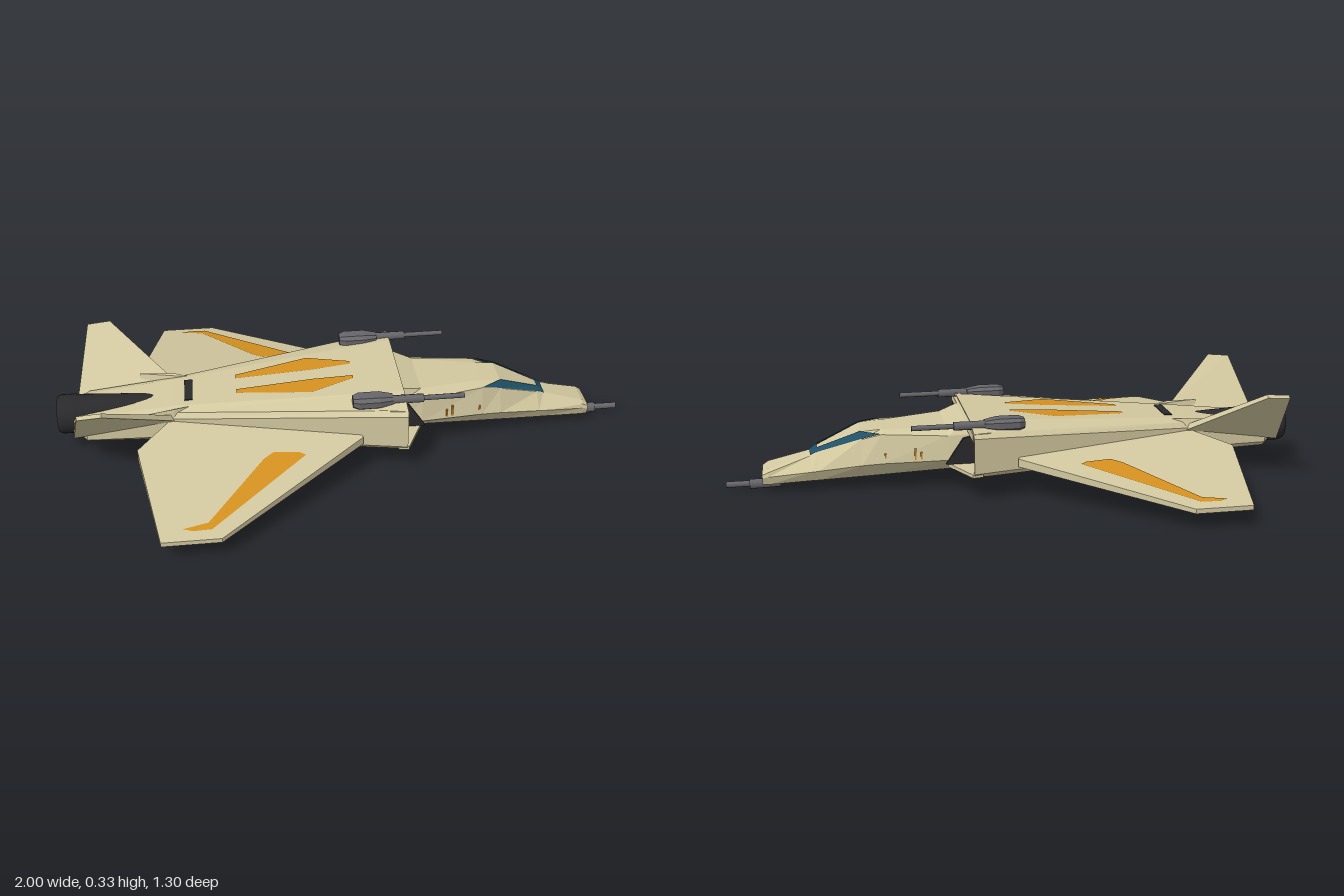
import * as THREE from 'three';
import { ConvexGeometry } from 'three/addons/geometries/ConvexGeometry.js';

const V = (x, y, z) => new THREE.Vector3(x, y, z);

function material(name, color, side = THREE.FrontSide) {
  const m = new THREE.MeshStandardMaterial({ color, side });
  m.name = name;
  return m;
}

// Skin between rows of points, with optional flat caps; flat shaded
function loft(rows, { closed = true, back = false, front = false } = {}) {
  const pos = [];
  const tri = (...p) => p.forEach(v => pos.push(v.x, v.y, v.z));
  const n = rows[0].length;
  for (let i = 0; i + 1 < rows.length; i++) {
    for (let j = 0; j < (closed ? n : n - 1); j++) {
      const k = (j + 1) % n;
      tri(rows[i][j], rows[i + 1][k], rows[i][k]);
      tri(rows[i][j], rows[i + 1][j], rows[i + 1][k]);
    }
  }
  const last = rows[rows.length - 1];
  for (let j = 1; j + 1 < n; j++) {
    if (back) tri(rows[0][0], rows[0][j], rows[0][j + 1]);
    if (front) tri(last[0], last[j + 1], last[j]);
  }
  const g = new THREE.BufferGeometry();
  g.setAttribute('position', new THREE.Float32BufferAttribute(pos, 3));
  g.computeVertexNormals();
  return g;
}

// Full symmetric section from half-section [z, y] pairs, bottom to top
const ring = ([x, ...half]) => [
  ...half.map(([z, y]) => V(x, y, z)),
  ...half.slice().reverse().map(([z, y]) => V(x, y, -z)),
];

// Flat outline in x,z laid on a surface y = height(x, z)
function decal(points, height) {
  const g = new THREE.ShapeGeometry(new THREE.Shape(points.map(p => new THREE.Vector2(...p))));
  const p = g.attributes.position;
  for (let i = 0; i < p.count; i++) {
    const x = p.getX(i), z = p.getY(i);
    p.setXYZ(i, x, height(x, z), z);
  }
  g.computeVertexNormals();
  return g;
}

// Round bar along x, from x0 to x1
function bar(x0, x1, r0, r1, y, z, sides = 12) {
  return new THREE.CylinderGeometry(r1, r0, x1 - x0, sides).rotateZ(-Math.PI / 2).translate((x0 + x1) / 2, y, z);
}

export function createModel() {
  const model = new THREE.Group();
  const hull = material('hull tan', 0xd3c9a0);
  const dark = material('intake black', 0x2a2a2c, THREE.DoubleSide);
  const metal = material('gun grey', 0x67676b);
  const orange = material('marking orange', 0xd6911f, THREE.DoubleSide);
  const glass = material('glass blue', 0x1f5168, THREE.DoubleSide);
  const add = (name, geometry, mat) => {
    const m = new THREE.Mesh(geometry, mat);
    m.name = name;
    model.add(m);
    return m;
  };

  // Forward fuselage: keel, side edge, canopy shoulder, roof
  const fuselage = [
    [-0.5, [0.07, 0.074], [0.09, 0.09], [0.085, 0.16], [0.06, 0.18]],
    [0.12, [0.115, 0.073], [0.157, 0.115], [0.15, 0.205], [0.13, 0.238]],
    [0.185, [0.11, 0.07], [0.155, 0.115], [0.147, 0.2], [0.125, 0.235]],
    [0.25, [0.1, 0.066], [0.152, 0.113], [0.14, 0.196], [0.1, 0.216]],
    [0.47, [0.085, 0.053], [0.12, 0.103], [0.098, 0.2], [0.058, 0.207]],
    [0.54, [0.08, 0.049], [0.11, 0.097], [0.08, 0.18], [0.058, 0.202]],
    [0.685, [0.07, 0.041], [0.088, 0.079], [0.044, 0.132], [0.022, 0.142]],
    [0.71, [0.068, 0.04], [0.085, 0.076], [0.038, 0.12], [0.03, 0.122]],
    [0.855, [0.056, 0.031], [0.064, 0.06], [0.06, 0.075], [0.045, 0.084]],
    [0.875, [0.054, 0.032], [0.061, 0.055], [0.058, 0.066], [0.045, 0.07]],
  ];
  add('fuselage', loft(fuselage.map(ring), { front: true }), hull);

  // Canopy glass follows the shoulder faces and the windscreen
  const pane = (i, p, s) => {
    const [x, ...h] = fuselage[i];
    return V(x + 0.002, h[p][1] + 0.003, s * (h[p][0] + 0.002));
  };
  for (const s of [1, -1]) {
    const rows = [5, 6, 7].map(i => (s > 0 ? [pane(i, 2, s), pane(i, 3, s)] : [pane(i, 3, s), pane(i, 2, s)]));
    rows.unshift([pane(4, 2, s), pane(4, 2, s)]);
    add('sideWindow', loft(rows, { closed: false }), glass);
  }
  add('windscreen', loft([6, 7].map(i => [pane(i, 3, 1), pane(i, 3, -1)]), { closed: false }), glass);

  // Main body, tapering to the tail
  const cowlBack = [0.12, [0.255, 0.084], [0.268, 0.1], [0.268, 0.219], [0.252, 0.235], [0.165, 0.2524]];
  const cowlFront = [0.18, [0.265, 0.085], [0.28, 0.1], [0.28, 0.222], [0.264, 0.238], [0.17, 0.2567]];
  const body = [
    [-0.945, [0.045, 0.1], [0.065, 0.115], [0.065, 0.15], [0.06, 0.158], [0.045, 0.164]],
    [-0.9, [0.09, 0.082], [0.112, 0.1], [0.112, 0.148], [0.105, 0.16], [0.075, 0.169]],
    [-0.6, [0.1, 0.075], [0.125, 0.1], [0.125, 0.172], [0.112, 0.19], [0.085, 0.2]],
    cowlBack,
  ];
  add('mainBody', loft(body.map(ring), { back: true }), hull);
  add('intakeBackWall', loft([ring(cowlBack), ring(cowlBack)], { front: true }), dark);

  // Intake cowl: tan outside and rim, black lining
  const inset = ([x, ...h]) => [x, ...h.map(([z, y]) => [z - 0.009, y < 0.15 ? y + 0.009 : y - 0.006])];
  const [co, ci] = [ring(cowlFront), ring(inset(cowlFront))];
  add('intakeCowl', loft([ring(cowlBack), co, ci]), hull);
  add('intakeLining', loft([ci, ring(inset(cowlBack))]), dark);

  const topY = x => 0.2 + (x + 0.6) * 0.0727;
  for (const s of [1, -1]) {
    const convex = (name, pts, mat) => add(name, new ConvexGeometry(pts.map(p => V(p[0], p[1], p[2] * s))), mat);
    const slab = (pts, y0, y1) => pts.flatMap(([x, z]) => [[x, y0, z], [x, y1, z]]);

    // Intake roof, floor lip and black splitter face
    convex('intakeRoof', slab([[0.121, 0.13], [0.183, 0.13], [0.183, 0.268], [0.121, 0.255]], 0.209, 0.235), hull);
    convex('intakeLip', slab([[0.15, 0.13], [0.25, 0.14], [0.185, 0.275], [0.15, 0.27]], 0.086, 0.098), hull);
    convex('splitter', [[0.13, 0.1], [0.26, 0.1], [0.2, 0.19], [0.13, 0.205]]
      .flatMap(([x, y]) => [[x, y, 0.15], [x, y, 0.159]]), dark);

    // Wing, drooping to a thin tip
    const wingY = z => 0.15 - (z - 0.2) * 0.17;
    convex('wing', [
      [0.03, 0.26, 0.112], [-0.46, 0.65, 0.058], [-0.65, 0.65, 0.058],
      [-0.725, 0.25, 0.1], [-0.6, 0.1, 0.1], [0, 0.2, 0.108],
    ].flatMap(([x, z, yb]) => [[x, yb, z], [x, wingY(z), z]]), hull);
    add('wingMarking', decal([[-0.58, 0.604], [-0.55, 0.615], [-0.49, 0.613], [-0.17, 0.325], [-0.19, 0.312],
      [-0.275, 0.302], [-0.31, 0.33], [-0.5, 0.585]].map(([x, z]) => [x, z * s]), (x, z) => wingY(Math.abs(z)) + 0.003), orange);

    // Canted tail fin with a small root fairing
    convex('tailFin', [
      [-0.6, 0.172, 0.118, 0.007], [-0.82, 0.325, 0.303, 0.005],
      [-0.9, 0.318, 0.3, 0.005], [-0.945, 0.115, 0.1, 0.007],
    ].flatMap(([x, y, z, t]) => [[x, y + t, z - t], [x, y - t, z + t]]), hull);
    convex('finFairing', [[-0.53, 0.2, 0.09], [-0.6, 0.16, 0.125], [-0.6, 0.205, 0.115],
      [-0.72, 0.15, 0.12], [-0.72, 0.2, 0.135], [-0.6, 0.16, 0.1]], hull);

    // Back markings and small side markings
    add('backMarking', decal([[-0.385, 0.035], [-0.385, 0.058], [-0.13, 0.112], [0.02, 0.055], [0.02, 0.038], [-0.12, 0.03]]
      .map(([x, z]) => [x, z * s]), x => topY(x) + 0.003), orange);
    for (const [x, y, h, z] of [[0.34, 0.13, 0.025, 0.1355], [0.36, 0.135, 0.04, 0.132], [0.46, 0.13, 0.015, 0.116]]) {
      add('sideMarking', new THREE.BoxGeometry(0.006, h, 0.009).translate(x, y, z * s), orange);
    }

    // Shoulder gun: chamfered housing, sleeve and barrel
    convex('gunHousing', [[0, 0.016, 0.022], [0.02, 0.021, 0.034], [0.09, 0.021, 0.034], [0.135, 0.014, 0.022]]
      .flatMap(([x, h, w]) => [[-1, 0.5], [-0.6, 1], [0.6, 1], [1, 0.5], [1, -0.5], [0.6, -1], [-0.6, -1], [-1, -0.5]]
        .map(([a, b]) => [x, 0.25 + b * h, 0.205 + a * w])), metal);
    add('gunSleeve', bar(0.13, 0.24, 0.015, 0.015, 0.25, 0.21 * s, 8), metal);
    add('gunBarrel', bar(0.24, 0.38, 0.009, 0.009, 0.25, 0.21 * s, 8), metal);
  }

  // Black vent across the back
  const vent = new THREE.BoxGeometry(0.028, 0.008, 0.125).translate(-0.55, topY(-0.55), 0);
  add('backVent', vent, dark);

  // Nose gun
  add('noseGunSleeve', bar(0.815, 0.92, 0.016, 0.018, 0.018, 0, 8), metal);
  add('noseGunBarrel', bar(0.92, 1, 0.011, 0.011, 0.02, 0, 8), metal);

  // Engine, nozzle and blue exhaust
  add('engine', bar(-0.93, -0.62, 0.066, 0.05, 0.14, 0, 32), dark);
  const nozzle = [[0.05, -0.975], [0.055, -1], [0.062, -1], [0.068, -0.985], [0.068, -0.94], [0.064, -0.925]]
    .map(([r, x]) => new THREE.Vector2(r, x));
  add('nozzle', new THREE.LatheGeometry(nozzle, 32).rotateZ(-Math.PI / 2).translate(0, 0.14, 0), dark);
  add('exhaust', new THREE.CircleGeometry(0.056, 32).rotateY(-Math.PI / 2).translate(-0.985, 0.14, 0), glass);

  return model;
}
